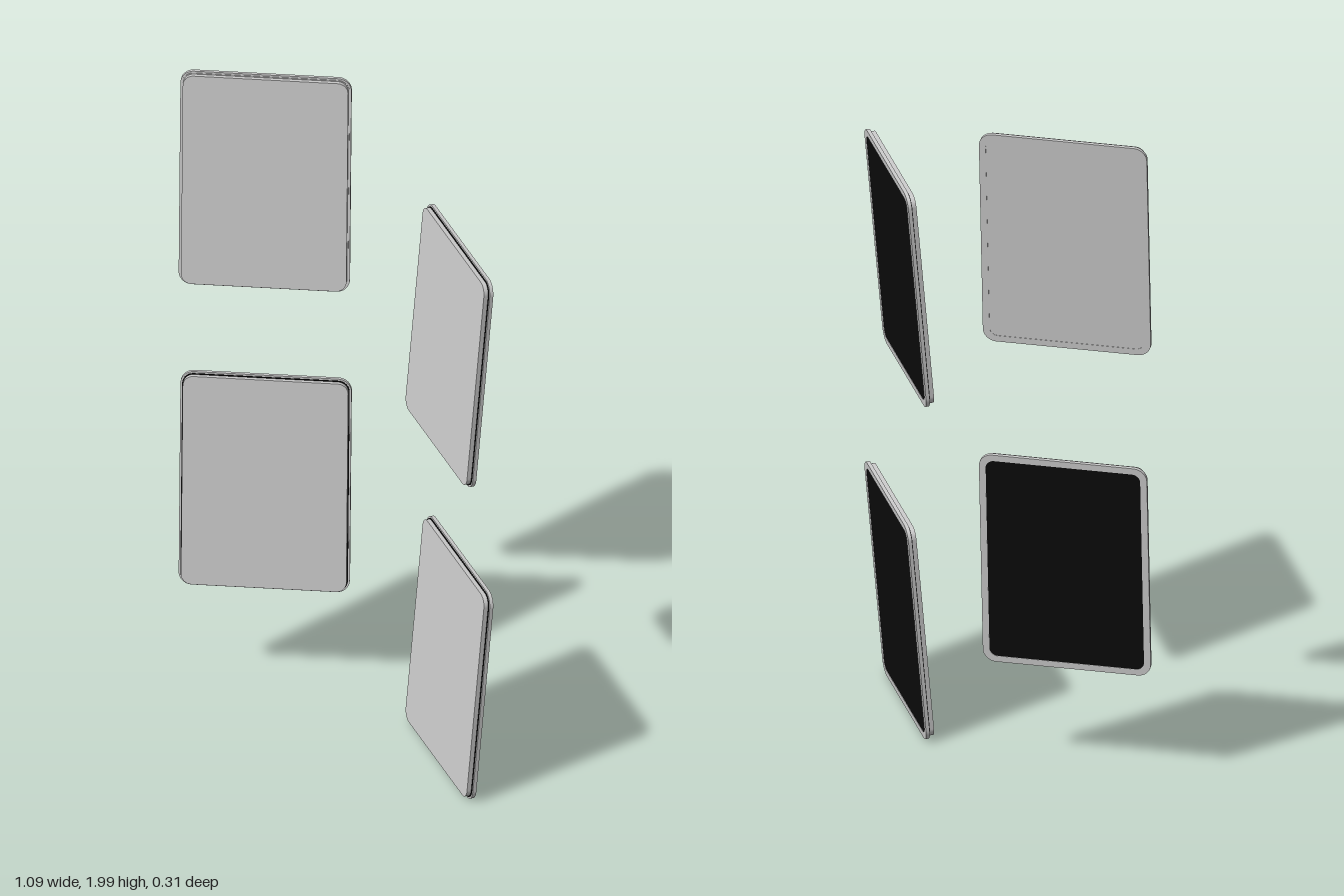
import * as THREE from 'three';

const W = 0.478, H = 0.67, T = 0.025, YAW = Math.PI - 0.548, TILT = 0.085;

// Rounded rectangle centred on the origin
function roundedRect(Kind, w, h, r) {
  const s = new Kind(), x = w / 2, y = h / 2;
  s.moveTo(-x + r, -y);
  s.lineTo(x - r, -y);
  s.absarc(x - r, -y + r, r, -Math.PI / 2, 0);
  s.lineTo(x, y - r);
  s.absarc(x - r, y - r, r, 0, Math.PI / 2);
  s.lineTo(-x + r, y);
  s.absarc(-x + r, y - r, r, Math.PI / 2, Math.PI);
  s.lineTo(-x, -y + r);
  s.absarc(-x + r, -y + r, r, Math.PI, Math.PI * 1.5);
  return s;
}

// Slab with rounded corners between two depths, optionally with an opening
function slab(name, inset, z0, z1, material, border = 0) {
  const shape = roundedRect(THREE.Shape, W - 2 * inset, H - 2 * inset, 0.038 - inset);
  if (border) shape.holes.push(roundedRect(THREE.Path, W - 2 * border, H - 2 * border, 0.024));
  const geometry = new THREE.ExtrudeGeometry(shape, { depth: z1 - z0, bevelEnabled: false, curveSegments: 8 });
  geometry.translate(0, 0, z0);
  const mesh = new THREE.Mesh(geometry, material);
  mesh.name = name;
  return mesh;
}

// One tablet; its display faces local +z
function tablet(name, grey, display) {
  const g = new THREE.Group();
  g.name = name;
  g.add(slab('backShell', 0.008, -T / 2, 0, grey));
  g.add(slab('display', 0.005, 0, T / 2 - 0.001, display));
  g.add(slab('bezel', 0, 0.002, T / 2, grey, 0.019));
  return g;
}

export function createModel() {
  const model = new THREE.Group();
  model.name = 'tabletDisplay';
  const grey = new THREE.MeshStandardMaterial({ color: 0xcccccc });
  const black = new THREE.MeshStandardMaterial({ color: 0x0a0a0a });

  // Two staggered columns, turned outwards and tipped slightly down
  const places = [
    ['upperLeftTablet', 1, 1.37, black],
    ['lowerLeftTablet', 1, 0.34, black],
    ['upperRightTablet', -1, 1.665, grey],
    ['lowerRightTablet', -1, 0.672, black],
  ];
  for (const [name, side, y, display] of places) {
    const t = tablet(name, grey, display);
    t.rotation.set(TILT, side * YAW, 0, 'YXZ');
    t.position.set(side * 0.32, y, 0);
    model.add(t);
  }
  return model;
}
